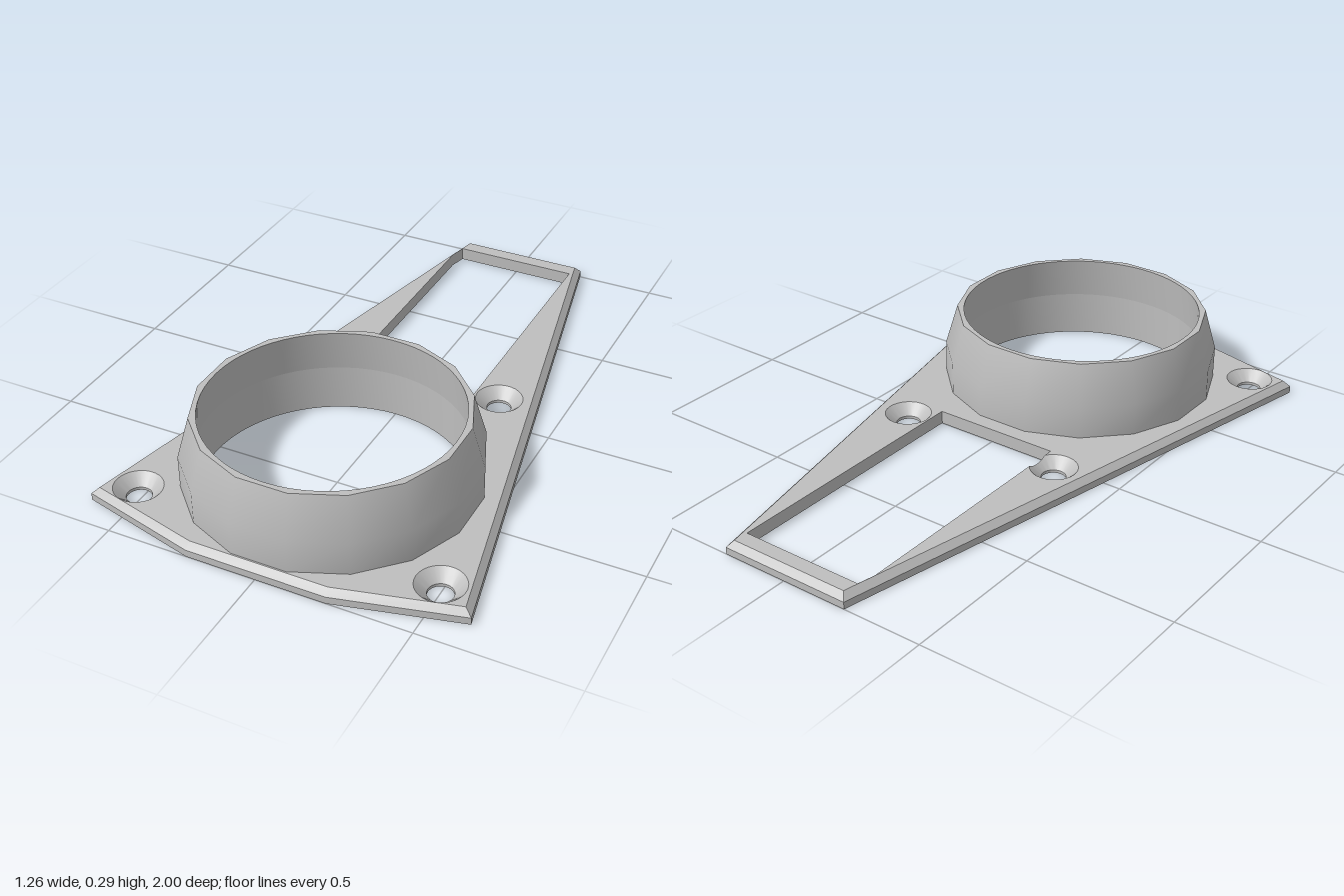
import * as THREE from 'three';
import { mergeGeometries, toCreasedNormals } from 'three/addons/utils/BufferGeometryUtils.js';

const T = 0.045;                       // plate thickness
const RING_Z = 0.515;                  // ring centre
const SINK_R = 0.078, SCREW_R = 0.04, SINK_Y = 0.01;
const SLOT_X = -0.235;                 // slot's left wall, cutting one countersink
const CUT = 0.065;                     // distance of that wall from the screw centre
const A0 = Math.acos(CUT / SINK_R);
const SCREWS = [[-0.3, -0.075], [0.295, -0.075], [-0.505, 0.83], [0.505, 0.83]];

// Loops are [x, z] points running from +x towards +z.
const arc = (cx, cz, r, from, to, n, closed = false) =>
  Array.from({ length: closed ? n : n + 1 }, (_, i) => {
    const a = from + (to - from) * i / n;
    return [cx + r * Math.cos(a), cz + r * Math.sin(a)];
  });
const circle = (cx, cz, r, n = 64, start = 0) => arc(cx, cz, r, start, start + Math.PI * 2, n, true);
const at = (loop, y) => loop.map(([x, z]) => [x, y, z]);

// Wall between two closed loops of 3D points
function wall(low, high, inward = false) {
  const pos = [];
  low.forEach((b, i) => {
    const j = (i + 1) % low.length;
    const quad = [b, high[i], low[j], low[j], high[i], high[j]];
    if (inward) quad.reverse();
    quad.forEach(p => pos.push(...p));
  });
  const g = new THREE.BufferGeometry();
  g.setAttribute('position', new THREE.Float32BufferAttribute(pos, 3));
  g.computeVertexNormals();
  return g;
}

// Flat face with holes at height y, facing up or down
function cap(loop, holes, y, up) {
  const s = up ? -1 : 1;
  const pts = l => l.map(([x, z]) => new THREE.Vector2(x, z * s));
  const shape = new THREE.Shape(pts(loop));
  holes.forEach(h => shape.holes.push(new THREE.Path(pts(h))));
  const g = new THREE.ShapeGeometry(shape).toNonIndexed();
  g.deleteAttribute('uv');
  return g.rotateX(s * Math.PI / 2).translate(0, y, 0);
}

function part(name, geometries, material, crease) {
  const mesh = new THREE.Mesh(toCreasedNormals(mergeGeometries(geometries), crease), material);
  mesh.name = name;
  return mesh;
}

// Countersink edge point at angle a, clipped where it breaks into the slot
function sinkPoint([cx, cz], a, clipped) {
  const r = clipped ? Math.min(SINK_R, CUT / Math.cos(a)) : SINK_R;
  const y = T - (SINK_R - r) * (T - SINK_Y) / (SINK_R - SCREW_R);
  return [cx + r * Math.cos(a), y, cz + r * Math.sin(a)];
}

function plateGeometries() {
  const outline = [[0.63, 0.9], [0.23, 1], [-0.23, 1], [-0.63, 0.9], [-0.23, -1], [0.23, -1]];
  const inset = [[0.607, 0.886], [0.228, 0.98], [-0.228, 0.98], [-0.607, 0.886], [-0.213, -0.98], [0.213, -0.98]];

  // Slot with a notch where the countersink meets its wall
  const before = [[0.21, -0.93], [0.21, 0], [SLOT_X, 0]];
  const after = [[SLOT_X, -0.87], [-0.222, -0.93]];
  const notch = [];
  for (let i = 0; i <= 8; i++) notch.push(sinkPoint(SCREWS[0], A0 - 2 * A0 * i / 8, true));
  const slotHigh = [...at(before, T), ...notch, ...at(after, T)];
  const slot = slotHigh.map(([x, , z]) => [x, z]);
  const slotTop = [...before, ...arc(...SCREWS[0], SINK_R, A0, 2 * Math.PI - A0, 24), ...after];

  const bore = circle(0, RING_Z, 0.42);
  const angles = [];
  for (let i = 0; i < 24; i++) angles.push(A0 + (2 * Math.PI - 2 * A0) * i / 24);
  for (let i = 0; i < 8; i++) angles.push(-A0 + 2 * A0 * i / 8);

  const list = [wall(at(outline, 0), at(outline, 0.024)), wall(at(outline, 0.024), at(inset, T)),
    wall(at(slot, 0), slotHigh, true)];
  const screwHoles = [], sinkHoles = [];
  SCREWS.forEach((c, i) => {
    const hole = angles.map(a => [c[0] + SCREW_R * Math.cos(a), c[1] + SCREW_R * Math.sin(a)]);
    const clipped = i === 0;
    const rim = angles.map(a => sinkPoint(c, a, clipped && Math.cos(a) > 0));
    list.push(wall(at(hole, 0), at(hole, SINK_Y), true), wall(at(hole, SINK_Y), rim, true));
    screwHoles.push(hole);
    if (!clipped) sinkHoles.push(rim.map(([x, , z]) => [x, z]));
  });
  list.push(cap(outline, [slot, bore, ...screwHoles], 0, false));
  list.push(cap(inset, [slotTop, bore, ...sinkHoles], T, true));
  return list;
}

export function createModel() {
  const grey = new THREE.MeshStandardMaterial({ color: 0xbebebe });
  grey.name = 'grey';
  const model = new THREE.Group();
  model.name = 'ringMountPlate';

  // Tapered plate with slot, bore and four countersunk screw holes
  model.add(part('basePlate', plateGeometries(), grey, 0.35));

  // Sixteen-sided collar, straight below and tapered above
  const facet = r => circle(0, RING_Z, r / Math.cos(Math.PI / 16), 16, Math.PI / 16);
  const base = facet(0.46), top = facet(0.42);
  model.add(part('collar', [
    wall(at(base, T), at(base, 0.155)),
    wall(at(base, 0.155), at(top, 0.295)),
    cap(top, [circle(0, RING_Z, 0.405)], 0.295, true),
  ], grey, 0.5));

  // Round bore through collar and plate
  const wide = circle(0, RING_Z, 0.42), narrow = circle(0, RING_Z, 0.405);
  model.add(part('bore', [
    wall(at(wide, 0), at(wide, 0.155), true),
    wall(at(wide, 0.155), at(narrow, 0.295), true),
  ], grey, 0.1));
  return model;
}
